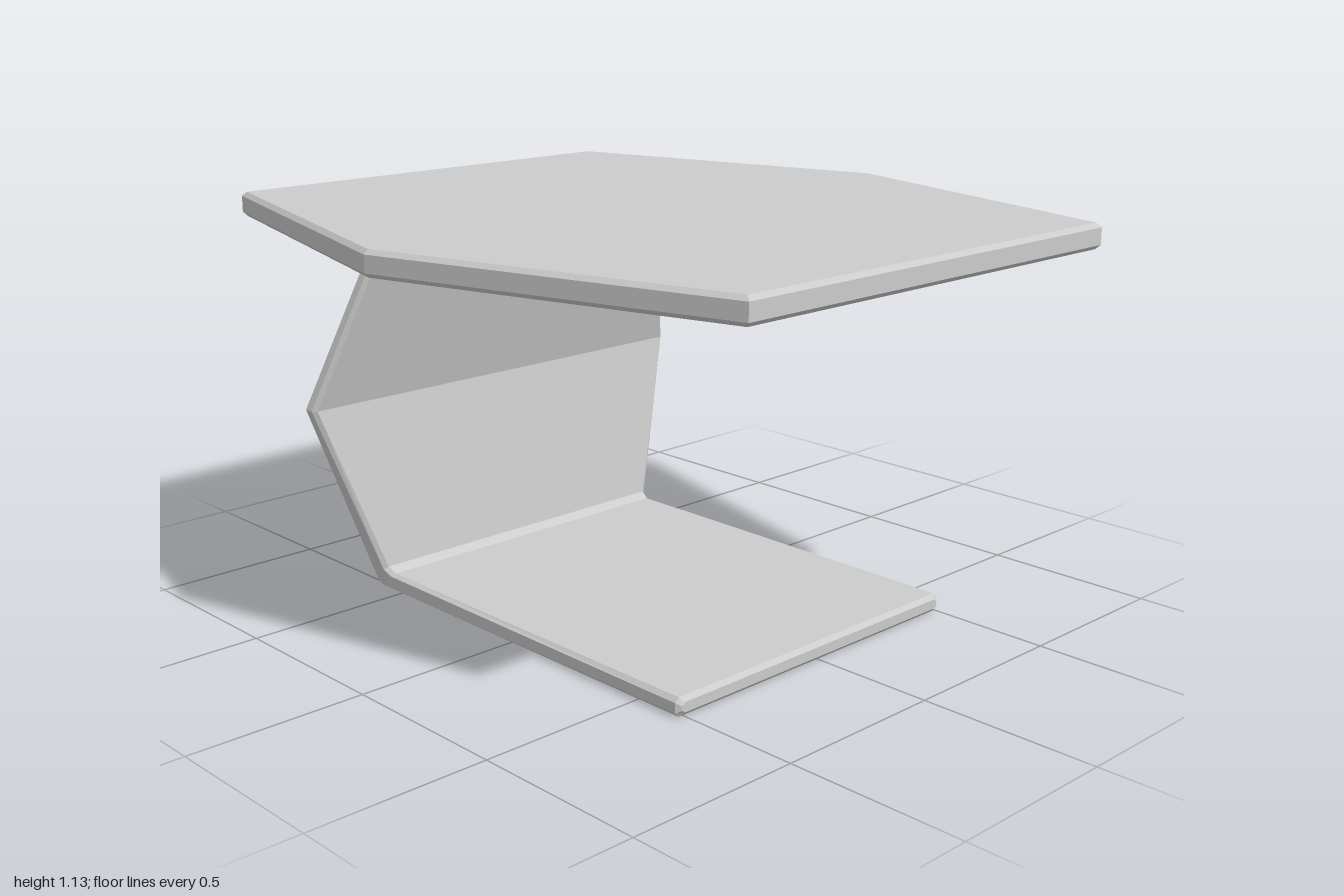
import * as THREE from 'three';

const material = new THREE.MeshStandardMaterial({ color: 0xcccccc, flatShading: true });
const BEVEL = 0.012;

// Hexagonal slab with a small chamfer around its top and bottom edges
function createTabletop() {
  const b = BEVEL;
  const corners = [[1 - b, 0.655], [0, 0.927], [b - 1, 0.655], [b - 1, -0.655], [0, -0.927], [1 - b, -0.655]];
  const shape = new THREE.Shape(corners.map(([x, z]) => new THREE.Vector2(x, z)));
  const geometry = new THREE.ExtrudeGeometry(shape, {
    depth: 0.07 - 2 * b, bevelEnabled: true, bevelThickness: b, bevelSize: b, bevelSegments: 1,
  });
  geometry.rotateX(-Math.PI / 2).translate(0, 1.06 + b, 0);
  const mesh = new THREE.Mesh(geometry, material);
  mesh.name = 'tabletop';
  return mesh;
}

// Folded sheet: chamfered cross-sections joined along a path
// Each station holds the outer point, the inner point, the half width and the centre in z
function createFoldedSheet(name, stations) {
  const rings = stations.map(([ox, oy, ix, iy, w, zc]) => {
    const t = Math.min(0.27, BEVEL / Math.hypot(ix - ox, iy - oy));
    const half = [[0, w - BEVEL], [t, w], [1 - t, w], [1, w - BEVEL]];
    const mirrored = half.map(([s, z]) => [s, -z]).reverse();
    return [...half, ...mirrored].map(([s, z]) => [ox + (ix - ox) * s, oy + (iy - oy) * s, zc + z]);
  });
  const n = rings[0].length;
  const index = [];
  for (let k = 0; k < rings.length - 1; k++) {
    for (let j = 0; j < n; j++) {
      const a = k * n + j, b = k * n + (j + 1) % n;
      index.push(a, b, b + n, a, b + n, a + n);
    }
  }
  // End caps
  const last = (rings.length - 1) * n;
  for (let j = 1; j < n - 1; j++) {
    index.push(0, j + 1, j, last, last + j, last + j + 1);
  }
  const indexed = new THREE.BufferGeometry();
  indexed.setAttribute('position', new THREE.Float32BufferAttribute(rings.flat(2), 3));
  indexed.setIndex(index);
  const geometry = indexed.toNonIndexed();
  geometry.computeVertexNormals();
  const mesh = new THREE.Mesh(geometry, material);
  mesh.name = name;
  return mesh;
}

export function createModel() {
  const model = new THREE.Group();
  model.name = 'sideTable';
  model.add(createTabletop());

  // Base plate that folds up into the bent support
  model.add(createFoldedSheet('baseAndSupport', [
    [0.655, 0.012, 0.655, 0.04, 0.503, 0.01],   // chamfered free end
    [0.643, 0, 0.643, 0.052, 0.515, 0.01],
    [-0.588, 0, -0.53, 0.052, 0.515, 0.01],     // fold between base and support
    [-0.602, 0.015, -0.556, 0.068, 0.52, 0.01],
    [-0.685, 0.552, -0.633, 0.552, 0.68, 0.015], // widest point at the bend
    [-0.545, 1.065, -0.495, 1.065, 0.515, 0.01], // under the tabletop
  ]));
  return model;
}
